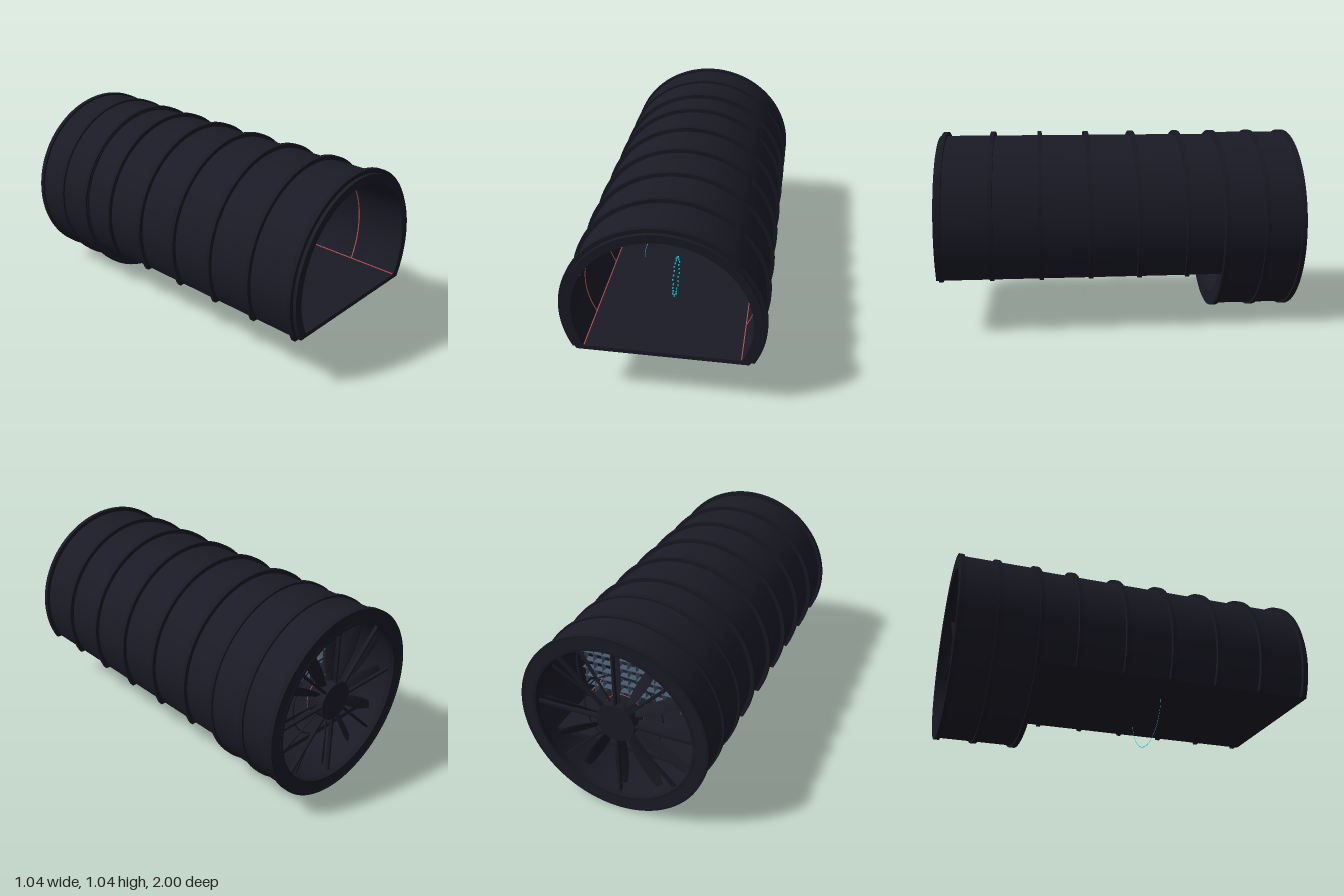
import * as THREE from 'three';
import { toCreasedNormals } from 'three/addons/utils/BufferGeometryUtils.js';

const CY = 0.5225;      // height of the tunnel axis
const FLOOR = 0.315;    // top of the floor

export function createModel() {
  const mat = (name, color, side = THREE.FrontSide) => {
    const m = new THREE.MeshStandardMaterial({ color, side });
    m.name = name;
    return m;
  };
  const shellMat = mat('charcoal shell', 0x1b1b27);
  const ribMat = mat('dark rib', 0x191924);
  const fanMat = mat('fan grey', 0x1b1b26);
  const gridMat = mat('slate mesh', 0x475a6e);
  const redMat = mat('red trim', 0xb8504a, THREE.DoubleSide);
  const cyanMat = mat('cyan light', 0x00c8d8, THREE.DoubleSide);

  const root = new THREE.Group();
  root.name = 'windTunnel';
  const add = (name, geo, material, x = 0, y = 0, z = 0, parent = root) => {
    const m = new THREE.Mesh(geo, material);
    m.name = name;
    m.position.set(x, y, z);
    parent.add(m);
    return m;
  };

  // Annulus, or an arch cut flat at height cut, extruded from z0 to z1
  const band = (name, ro, ri, z0, z1, material, cut = null) => {
    const s = new THREE.Shape();
    if (cut === null) {
      s.absarc(0, 0, ro, 0, Math.PI * 2, false);
      s.holes.push(new THREE.Path().absarc(0, 0, ri, 0, Math.PI * 2, true));
    } else {
      const a = Math.asin((cut - CY) / ro), b = Math.asin((cut - CY) / ri);
      s.absarc(0, 0, ro, a, Math.PI - a, false);
      s.absarc(0, 0, ri, Math.PI - b, b, true);
    }
    const g = new THREE.ExtrudeGeometry(s, { depth: z1 - z0, bevelEnabled: false, curveSegments: 72 });
    return add(name, toCreasedNormals(g, 0.6), material, 0, CY, z0);
  };

  // Arched test section with its ribs
  band('tunnelArch', 0.5, 0.455, -0.56, 1, shellMat, 0.29);
  for (const z of [0.97, 0.703, 0.437, 0.172, -0.092, -0.355])
    band('tunnelRib', 0.5225, 0.498, z - 0.012, z + 0.012, ribMat, 0.288);

  // Floor, running back through the housing to the fan
  add('floor', new THREE.BoxGeometry(0.84, FLOOR - 0.29, 1.88), shellMat, 0, (FLOOR + 0.29) / 2, 0.06);

  // Round fan housing with flanges
  band('fanHousing', 0.511, 0.455, -0.998, -0.55, shellMat);
  for (const z of [-0.566, -0.787, -0.987])
    band('housingFlange', 0.5225, 0.509, z - 0.013, z + 0.013, ribMat);
  band('frontInnerLip', 0.456, 0.44, -0.575, -0.55, ribMat);
  band('rearInnerLip', 0.456, 0.44, -1, -0.97, ribMat);

  // Red trim inside the tunnel
  for (const z of [0.72, 0.26, -0.2])
    band('redArch', 0.457, 0.452, z - 0.003, z + 0.003, redMat, FLOOR);
  for (const s of [-1, 1])
    add('redFloorStrip', new THREE.BoxGeometry(0.005, 0.004, 1.54), redMat, s * 0.402, FLOOR + 0.002, 0.225);

  // Flow-straightening mesh, clipped to the arch above the floor
  const mesh = new THREE.Group();
  mesh.name = 'flowMesh';
  root.add(mesh);
  const R = 0.452, pitch = 0.0535;
  for (let i = -8; i <= 8; i++) {
    const d = i * pitch, h = Math.sqrt(R * R - d * d);
    const low = Math.max(FLOOR, CY - h), high = CY + h;
    add('meshUpright', new THREE.BoxGeometry(0.003, high - low, 0.04), gridMat, d, (low + high) / 2, -0.5, mesh);
    if (CY + d > FLOOR)
      add('meshBar', new THREE.BoxGeometry(h * 2, 0.003, 0.04), gridMat, 0, CY + d, -0.5, mesh);
  }

  // Fan near the rear opening: hub and twelve twisted blades
  const fan = new THREE.Group();
  fan.name = 'fan';
  fan.position.set(0, CY, -0.91);
  root.add(fan);
  const hub = add('hub', new THREE.CylinderGeometry(0.107, 0.107, 0.1, 48), fanMat, 0, 0, 0, fan);
  hub.rotation.x = Math.PI / 2;
  add('hubTrim', new THREE.TorusGeometry(0.107, 0.0025, 6, 48), redMat, 0, 0, 0.05, fan);
  add('hubPin', new THREE.CircleGeometry(0.006, 12), redMat, 0, 0, 0.052, fan);

  const blade = new THREE.BoxGeometry(1, 1, 1, 6, 14, 1);
  const p = blade.attributes.position;
  for (let i = 0; i < p.count; i++) {
    const u = p.getX(i) * 2, t = p.getY(i) + 0.5;
    const chord = 0.036 + 0.032 * Math.sin(Math.PI * Math.min(1, t * 0.95));
    const thick = 0.012 * (1 - 0.5 * t) * (0.15 + 0.85 * Math.sqrt(1 - u * u));
    const a = 0.8 - 0.4 * t, x = u * chord / 2, z = p.getZ(i) * thick;
    p.setXYZ(i, x * Math.cos(a) - z * Math.sin(a), 0.095 + 0.337 * t, x * Math.sin(a) + z * Math.cos(a));
  }
  blade.computeVertexNormals();
  for (let i = 0; i < 12; i++)
    add('blade', blade, fanMat, 0, 0, 0, fan).rotation.z = i * Math.PI / 6;

  // Guard: eight rear struts, and a ring ahead of the blades
  add('guardRing', new THREE.TorusGeometry(0.225, 0.0035, 6, 72), ribMat, 0, CY, -0.87);
  const strut = new THREE.BoxGeometry(0.013, 0.37, 0.02).translate(0, 0.27, 0);
  for (let i = 0; i < 8; i++)
    add('strut', strut, ribMat, 0, CY, -0.945).rotation.z = i * Math.PI / 4;

  // Thin cyan light ring standing through the floor
  add('lightRing', new THREE.RingGeometry(0.243, 0.247, 96), cyanMat, 0, 0.315, 0.19);

  // Dotted light loop standing on the centre line
  for (let i = 0; i < 28; i++) {
    const a = i / 28 * Math.PI * 2;
    add('loopDot', new THREE.BoxGeometry(0.007, 0.008, 0.008), cyanMat,
      0.003 * Math.sin(i * 2.1), 0.455 + 0.105 * Math.sin(a), 0.54 + 0.105 * Math.cos(a));
  }

  // Dashed light strip along the right-hand wall
  for (let i = 0; i < 10; i++)
    add('wallDash', new THREE.BoxGeometry(0.005, 0.007, 0.03), cyanMat, -0.418, 0.697, 0.91 - i * 0.044);

  return root;
}
